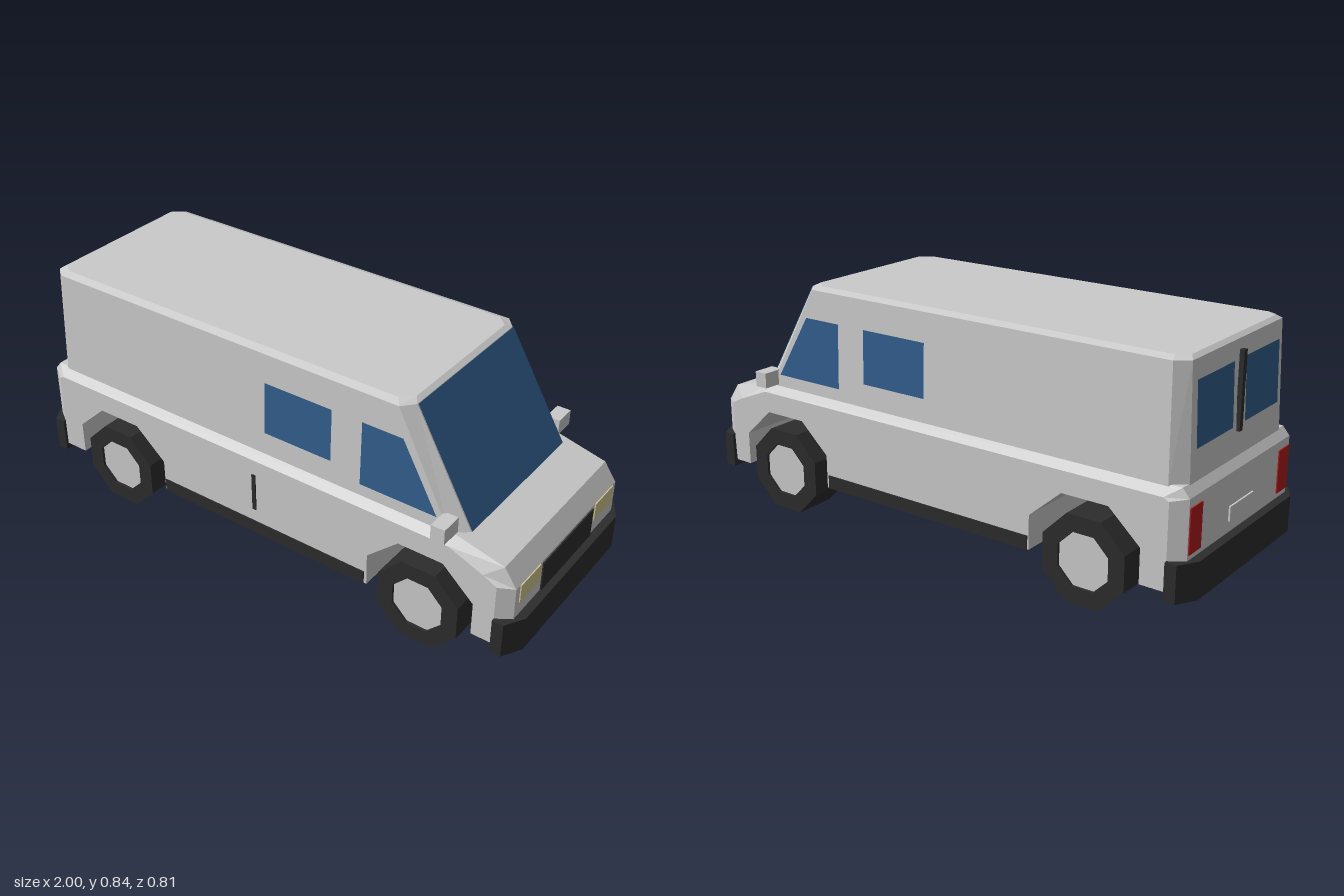
import * as THREE from 'three';

const mat = (name, color) => {
  const m = new THREE.MeshStandardMaterial({ color });
  m.name = name;
  return m;
};

// Solid through rings of [x, y] points (counter-clockwise), each ring at its own z.
function loft(rings, depths) {
  const pos = [];
  const put = (r, j) => pos.push(rings[r][j][0], rings[r][j][1], depths[r]);
  const n = rings[0].length, last = rings.length - 1;
  for (let r = 0; r < last; r++) {
    for (let j = 0; j < n; j++) {
      const k = (j + 1) % n;
      put(r, j); put(r, k); put(r + 1, k);
      put(r, j); put(r + 1, k); put(r + 1, j);
    }
  }
  for (const r of [0, last]) {
    const pts = rings[r].map(([x, y]) => new THREE.Vector2(x, y));
    for (const f of THREE.ShapeUtils.triangulateShape(pts, [])) {
      (r ? f : [...f].reverse()).forEach((j) => put(r, j));
    }
  }
  const g = new THREE.BufferGeometry();
  g.setAttribute('position', new THREE.Float32BufferAttribute(pos, 3));
  g.computeVertexNormals();
  return g;
}

// Thin four-cornered face
function panel(corners) {
  const g = new THREE.BufferGeometry();
  g.setAttribute('position', new THREE.Float32BufferAttribute([0, 1, 2, 0, 2, 3].flatMap((i) => corners[i]), 3));
  g.computeVertexNormals();
  return g;
}

export function createModel() {
  const van = new THREE.Group();
  van.name = 'van';
  const paint = mat('silver paint', 0xcacaca);
  const black = mat('black rubber', 0x2c2c2c);
  const glass = mat('blue glass', 0x315d8c);
  glass.side = THREE.DoubleSide;
  const lamp = mat('pale yellow lamp', 0xd2c890);
  const red = mat('red lamp', 0xb01a1a);

  const add = (name, geometry, material) => {
    const m = new THREE.Mesh(geometry, material);
    m.name = name;
    van.add(m);
    return m;
  };
  // Box given by its limits on each axis
  const box = (name, material, [x0, x1], [y0, y1], [z0, z1]) => {
    const m = add(name, new THREE.BoxGeometry(x1 - x0, y1 - y0, z1 - z0), material);
    m.position.set((x0 + x1) / 2, (y0 + y1) / 2, (z0 + z1) / 2);
  };

  // Lower body: side outline with wheel arches, narrowing at the corners
  const arches = [
    [-0.83, 0.13], [-0.83, 0.25], [-0.715, 0.355], [-0.545, 0.355], [-0.425, 0.25], [-0.425, 0.13],
    [0.45, 0.13], [0.45, 0.25], [0.565, 0.355], [0.73, 0.355], [0.845, 0.25], [0.845, 0.13],
  ];
  const outer = [[-0.92, 0.13], ...arches, [0.915, 0.13], [0.92, 0.23], [0.92, 0.355], [0.87, 0.38],
    [0.745, 0.43], [-0.9, 0.43], [-0.92, 0.42]];
  const inner = [[-0.97, 0.13], ...arches, [0.93, 0.13], [0.97, 0.23], [0.97, 0.35], [0.925, 0.415],
    [0.74, 0.46], [-0.945, 0.46], [-0.97, 0.43]];
  add('lowerBody', loft([outer, inner, inner, outer], [-0.37, -0.337, 0.337, 0.37]), paint);

  // Cabin: stacked octagons with chamfered corners
  const octagon = (back, backSide, frontSide, front, side, backZ, frontZ) => [
    [backSide, -side], [frontSide, -side], [front, -frontZ], [front, frontZ],
    [frontSide, side], [backSide, side], [back, backZ], [back, -backZ],
  ];
  add('cabin', loft([
    octagon(-0.948, -0.9, 0.73, 0.78, 0.343, 0.3, 0.295),
    octagon(-0.934, -0.89, 0.525, 0.562, 0.33, 0.295, 0.287),
    octagon(-0.918, -0.88, 0.505, 0.545, 0.303, 0.27, 0.265),
  ], [0.455, 0.832, 0.843]).rotateX(-Math.PI / 2), paint);

  // Glass
  add('windshield', panel([
    [0.784, 0.457, 0.295], [0.784, 0.457, -0.295], [0.566, 0.834, -0.287], [0.566, 0.834, 0.287],
  ]), glass);
  const sideZ = (y) => 0.343 - (y - 0.455) * 0.0345 + 0.005;
  const rearX = (y) => -0.948 + (y - 0.455) * 0.037 - 0.004;
  const sideWindows = {
    middleWindow: [[0.02, 0.54], [0.285, 0.54], [0.285, 0.73], [0.02, 0.73]],
    frontWindow: [[0.4, 0.5], [0.685, 0.5], [0.55, 0.73], [0.4, 0.73]],
  };
  for (const s of [1, -1]) {
    for (const [name, pts] of Object.entries(sideWindows)) {
      const corners = pts.map(([x, y]) => [x, y, s * sideZ(y)]);
      add(name, panel(s > 0 ? corners : corners.reverse()), glass);
    }
    const rear = [[0.04, 0.56], [0.27, 0.56], [0.27, 0.77], [0.04, 0.77]].map(([z, y]) => [rearX(y), y, s * z]);
    add('rearWindow', panel(s > 0 ? rear : rear.reverse()), glass);
  }

  // Bumpers with chamfered ends
  const bumperPlan = [[0.92, -0.381], [0.96, -0.381], [1, -0.312], [1, 0.312], [0.96, 0.381], [0.92, 0.381]];
  for (const [name, turn] of [['frontBumper', 0], ['rearBumper', Math.PI]]) {
    const g = loft([bumperPlan, bumperPlan], [0.105, 0.232]).rotateX(-Math.PI / 2);
    add(name, g, black).rotation.y = turn;
  }

  // Wheels: octagonal tyre ring with a slightly sunken hub
  const ringShape = (r) => Array.from({ length: 8 }, (_, i) => {
    const a = (i + 0.5) * Math.PI / 4;
    return new THREE.Vector2(r * Math.cos(a), r * Math.sin(a));
  });
  const tyreShape = new THREE.Shape(ringShape(0.162));
  tyreShape.holes.push(new THREE.Path(ringShape(0.1)));
  const tyre = new THREE.ExtrudeGeometry(tyreShape, { depth: 0.153, bevelEnabled: false }).translate(0, 0, -0.0765);
  const hub = new THREE.ExtrudeGeometry(new THREE.Shape(ringShape(0.1)), { depth: 0.133, bevelEnabled: false })
    .translate(0, 0, -0.0665);
  for (const x of [-0.635, 0.65]) {
    for (const s of [1, -1]) {
      add('tyre', tyre, black).position.set(x, 0.15, s * 0.3035);
      add('hub', hub, paint).position.set(x, 0.15, s * 0.3035);
    }
  }

  // Paired details
  for (const s of [1, -1]) {
    const span = (a, b) => (s > 0 ? [a, b] : [-b, -a]);
    box('mirror', paint, [0.7, 0.75], [0.46, 0.515], span(0.325, 0.405));
    box('sillStrip', black, [-0.42, 0.44], [0.13, 0.178], span(0.366, 0.374));
    box('headlight', lamp, [0.966, 0.974], [0.283, 0.35], span(0.186, 0.312));
    box('tailLight', red, [-0.974, -0.966], [0.25, 0.4], span(0.26, 0.333));
  }

  // Single details
  box('grille', black, [0.966, 0.975], [0.228, 0.342], [-0.17, 0.17]);
  box('slidingDoorHandle', black, [-0.02, -0.005], [0.228, 0.372], [0.366, 0.374]);
  box('rearDoorBar', black, [-0.956, -0.94], [0.54, 0.8], [-0.01, 0.01]);
  box('rearPlateHolder', paint, [-0.976, -0.968], [0.27, 0.32], [-0.08, 0.08]);
  return van;
}
